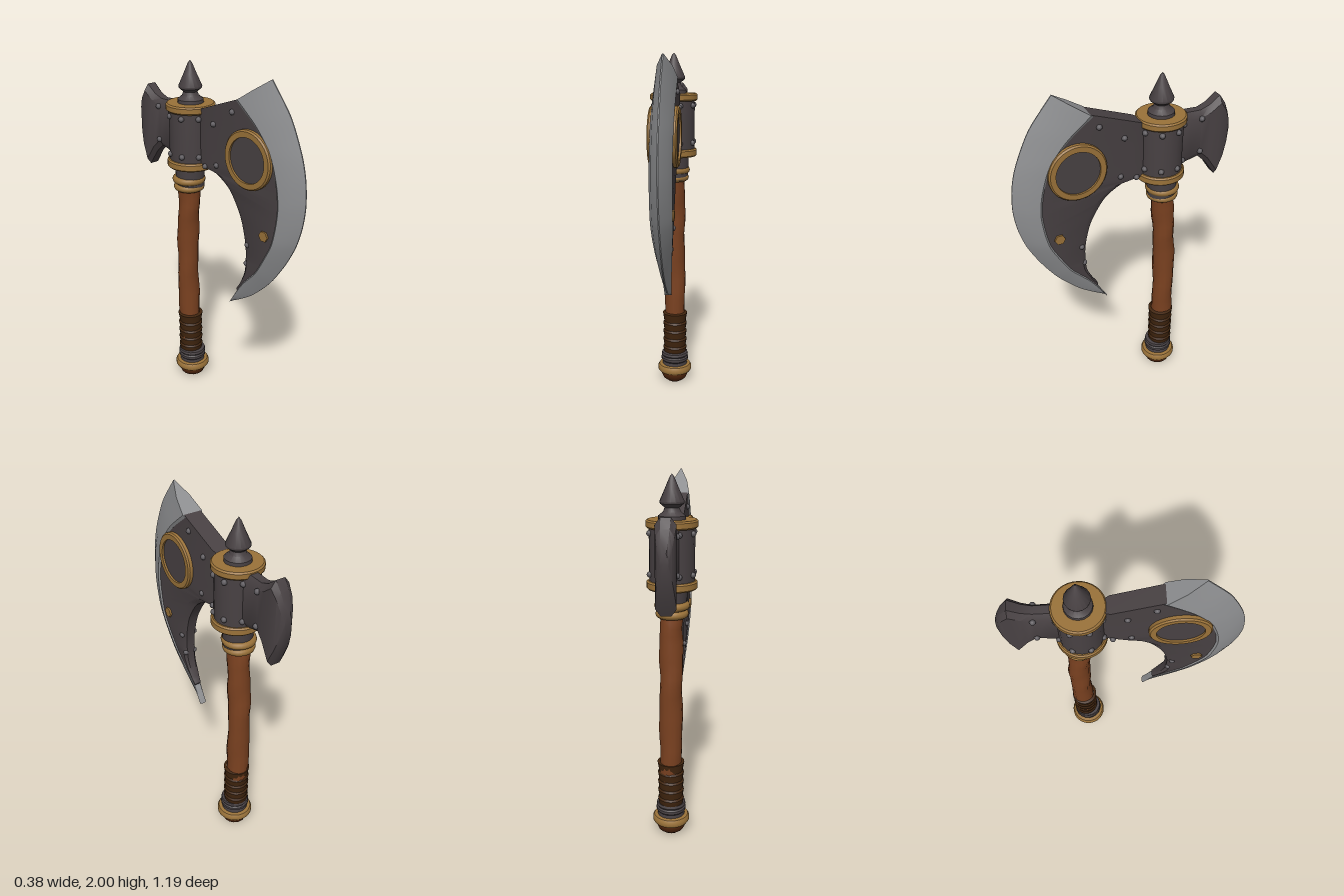
import * as THREE from 'three';
import { toCreasedNormals } from 'three/addons/utils/BufferGeometryUtils.js';

const mat = (name, color) => Object.assign(new THREE.MeshStandardMaterial({ color }), { name });
const M = {
  iron: mat('dark iron', 0x484143),
  steel: mat('blade steel', 0x8e8f91),
  gold: mat('aged gold', 0x9a7239),
  wood: mat('red wood', 0x7a4120),
  leather: mat('grip leather', 0x42260f),
  pommel: mat('pommel wood', 0x55290f),
  rivet: mat('rivet iron', 0x5e5b5f),
};

const TILT = 0.27;          // head is turned about the shaft
const AX = -0.045, AZ = -0.21;
const toLocal = (z) => (z - AZ) / Math.cos(TILT);

function mesh(parent, name, geo, material, x = 0, y = 0, z = 0) {
  const m = new THREE.Mesh(geo, material);
  m.name = name;
  m.position.set(x, y, z);
  parent.add(m);
  return m;
}

// Closed solid through rings of equal point count, capped at both ends
function loft(rings, crease = 0.6) {
  const n = rings[0].length, tris = [];
  for (let i = 0; i < rings.length - 1; i++) {
    for (let j = 0; j < n; j++) {
      const k = (j + 1) % n;
      const [a, b, c, d] = [rings[i][j], rings[i][k], rings[i + 1][k], rings[i + 1][j]];
      tris.push([a, b, c], [a, c, d]);
    }
  }
  for (const [ring, flip] of [[rings[0], true], [rings[rings.length - 1], false]]) {
    const mid = ring.reduce((s, p) => s.add(p), new THREE.Vector3()).divideScalar(n);
    for (let j = 0; j < n; j++) {
      const a = ring[j], b = ring[(j + 1) % n];
      tris.push(flip ? [mid, b, a] : [mid, a, b]);
    }
  }
  // turn the surface outward
  const cross = new THREE.Vector3();
  const volume = tris.reduce((s, [a, b, c]) => s + a.dot(cross.crossVectors(b, c)), 0);
  const pts = tris.flatMap(([a, b, c]) => (volume < 0 ? [a, c, b] : [a, b, c]));
  return toCreasedNormals(new THREE.BufferGeometry().setFromPoints(pts), crease);
}

// Turned part from [radius, height] pairs
function turned(profile, sides = 28, crease = 0.6) {
  const g = new THREE.LatheGeometry(profile.map(([r, y]) => new THREE.Vector2(r, y)), sides);
  return toCreasedNormals(g, crease);
}

// Flat band with a square section and softened corners
const band = (r0, r1, y0, y1, sides = 36) => {
  const b = Math.min(0.008, (y1 - y0) / 4);
  return turned([[r0, y0], [r1 - b, y0], [r1, y0 + b], [r1, y1 - b], [r1 - b, y1], [r0, y1], [r0, y0]], sides);
};

function addBlade(head) {
  // rows from the top point to the bottom point: inner edge, steel border, cutting edge (z, y)
  const rows = [
    [-.12, 1.76, .18, 1.873, .35, 1.99], [-.12, 1.65, .31, 1.76, .47, 1.83],
    [-.12, 1.53, .40, 1.64, .545, 1.66], [-.11, 1.455, .445, 1.50, .575, 1.54],
    [0, 1.44, .46, 1.38, .584, 1.41], [.11, 1.37, .45, 1.27, .57, 1.29],
    [.19, 1.236, .425, 1.16, .535, 1.17], [.225, 1.08, .37, 1.05, .47, 1.04],
    [.22, .93, .31, .95, .38, .905], [.18, .83, .22, .85, .27, .79],
    [.155, .79, .165, .775, .19, .73], [.105, .68, .104, .678, .10, .675],
  ];
  const curve = (k) => new THREE.CatmullRomCurve3(
    rows.map((r) => new THREE.Vector3(0, r[k + 1], toLocal(r[k]))), false, 'catmullrom', 0.4);
  const [inner, border, edge] = [0, 2, 4].map(curve);
  const at = (p, x) => new THREE.Vector3(x, p.y, p.z);
  const body = [], steel = [], N = 55;
  for (let i = 0; i <= N; i++) {
    const t = i / N;
    const I = inner.getPoint(t), D = border.getPoint(t), O = edge.getPoint(t);
    const s = 1 - 0.65 * THREE.MathUtils.smoothstep(t, 0.5, 1);
    const B = I.clone().lerp(D, 0.18), C = D.clone().lerp(O, 0.5);
    const E = D.clone().lerp(O, -0.08);
    if (t < 0.92) body.push([at(I, -.03 * s), at(I, .03 * s), at(B, .049 * s), at(D, .05 * s), at(D, -.05 * s), at(B, -.049 * s)]);
    steel.push([at(E, .05 * s), at(D, .058 * s), at(C, .04 * s), at(O, .003), at(O, -.003), at(C, -.04 * s), at(D, -.058 * s), at(E, -.05 * s)]);
  }
  mesh(head, 'bladeBody', loft(body), M.iron);
  mesh(head, 'cuttingEdge', loft(steel, 0.35), M.steel);

  // round boss through the blade
  const cz = toLocal(.26), cy = 1.58;
  mesh(head, 'bossRing', band(.12, .157, -.075, .075, 40), M.gold, 0, cy, cz).rotation.z = Math.PI / 2;
  mesh(head, 'bossDisc', new THREE.CylinderGeometry(.125, .125, .128, 36), M.iron, 0, cy, cz).rotation.z = Math.PI / 2;
}

function addRearBlade(head) {
  // z, bottom, top, half thickness
  const rows = [
    [-.28, 1.46, 1.765, .045], [-.36, 1.475, 1.762, .044], [-.42, 1.49, 1.76, .043], [-.47, 1.44, 1.78, .047],
    [-.525, 1.355, 1.825, .052], [-.56, 1.435, 1.775, .045], [-.582, 1.51, 1.72, .035], [-.597, 1.58, 1.67, .02],
  ];
  const rings = rows.map(([z, y0, y1, h]) => {
    const b = 0.035, u = toLocal(z);
    return [[-h * .5, y0], [h * .5, y0], [h, y0 + b], [h, y1 - b], [h * .5, y1], [-h * .5, y1], [-h, y1 - b], [-h, y0 + b]]
      .map(([x, y]) => new THREE.Vector3(x, y, u));
  });
  mesh(head, 'rearBlade', loft(rings), M.iron);
}

function addRivets(head) {
  const geo = new THREE.IcosahedronGeometry(.016, 1);
  // around the collar
  for (const y of [1.5, 1.71]) {
    for (let i = 0; i < 8; i++) {
      const a = (i + 0.5) * Math.PI / 4;
      mesh(head, 'collarRivet', geo, M.rivet, .12 * Math.sin(a), y, .12 * Math.cos(a));
    }
  }
  // on both faces of the blades: z, y, half thickness
  const spots = [[.01, 1.71, .05], [-.06, 1.46, .042], [.03, 1.49, .047], [.14, 1.8, .05], [.25, 1.1, .04],
    [.235, .98, .028], [-.42, 1.72, .044], [-.42, 1.53, .044]];
  for (const side of [-1, 1]) {
    for (const [z, y, x] of spots) mesh(head, 'bladeRivet', geo, M.rivet, side * x, y, toLocal(z));
    mesh(head, 'goldStud', new THREE.CylinderGeometry(.03, .03, .03, 6), M.gold, side * .045, 1.195, toLocal(.37))
      .rotation.z = Math.PI / 2;
  }
}

function addShaft(root) {
  // gently bowed, uneven wooden shaft
  const axis = new THREE.CatmullRomCurve3([[-.05, .1, -.245], [-.053, .5, -.255], [-.055, .9, -.253], [-.05, 1.2, -.236], [-.047, 1.42, -.22]]
    .map((p) => new THREE.Vector3(...p)));
  const rings = [];
  for (let i = 0; i <= 26; i++) {
    const c = axis.getPoint(i / 26);
    rings.push(Array.from({ length: 14 }, (_, j) => {
      const a = j / 14 * Math.PI * 2;
      const r = .062 + .003 * Math.sin(i * 0.9 + 2 * a) + .002 * Math.sin(i * 1.7 + a);
      return new THREE.Vector3(c.x + r * Math.cos(a), c.y, c.z + r * Math.sin(a));
    }));
  }
  mesh(root, 'shaft', loft(rings, 0.9), M.wood);

  // wrapped grip with overlapping turns
  const wrap = [[.06, .17]];
  for (let i = 0; i < 5; i++) wrap.push([.066, .18 + i * .053], [.073, .222 + i * .053]);
  wrap.push([.075, .445], [.058, .45]);
  mesh(root, 'grip', turned(wrap, 20), M.leather, -.05, 0, -.248);

  // butt end
  const butt = new THREE.Group();
  butt.name = 'butt';
  butt.position.set(-.047, 0, -.238);
  root.add(butt);
  mesh(butt, 'pommel', turned([[0, 0], [.045, .003], [.07, .022], [.085, .055], [.085, .08], [0, .08]], 16), M.pommel);
  mesh(butt, 'pommelRing', turned([[.06, .065], [.095, .068], [.103, .08], [.103, .1], [.095, .113], [.06, .118]], 28), M.gold);
  mesh(butt, 'buttBand', turned([[.07, .11], [.076, .115], [.074, .135], [.083, .145], [.083, .16], [.076, .168], [.082, .178], [.078, .192], [.05, .195]], 20), M.iron);
}

export function createModel() {
  const root = new THREE.Group();
  root.name = 'battleAxe';
  addShaft(root);

  const head = new THREE.Group();
  head.name = 'axeHead';
  head.position.set(AX, 0, AZ);
  head.rotation.y = TILT;
  root.add(head);
  addBlade(head);
  addRearBlade(head);
  addRivets(head);

  // collar, its bands and the spike
  mesh(head, 'collar', turned([[0, 1.43], [.118, 1.43], [.12, 1.5], [.118, 1.6], [.12, 1.7], [.118, 1.76], [0, 1.76]], 20), M.iron);
  mesh(head, 'upperBand', band(.05, .135, 1.735, 1.777), M.gold);
  mesh(head, 'lowerBand', band(.05, .133, 1.42, 1.465), M.gold);
  mesh(head, 'spike', turned([[.072, 1.77], [.07, 1.795], [.045, 1.815], [.038, 1.835], [.062, 1.855], [.064, 1.866],
    [.035, 1.93], [.012, 1.985], [0, 2]], 16), M.iron);

  // neck with two rounded rings
  mesh(root, 'neck', new THREE.CylinderGeometry(.085, .078, .16, 24), M.iron, -.047, 1.36, -.225);
  for (const [y, r] of [[1.336, .072], [1.292, .066]]) {
    mesh(root, 'neckRing', new THREE.TorusGeometry(r, .022, 10, 32), M.gold, -.052, y, -.23).rotation.x = Math.PI / 2;
  }
  return root;
}
